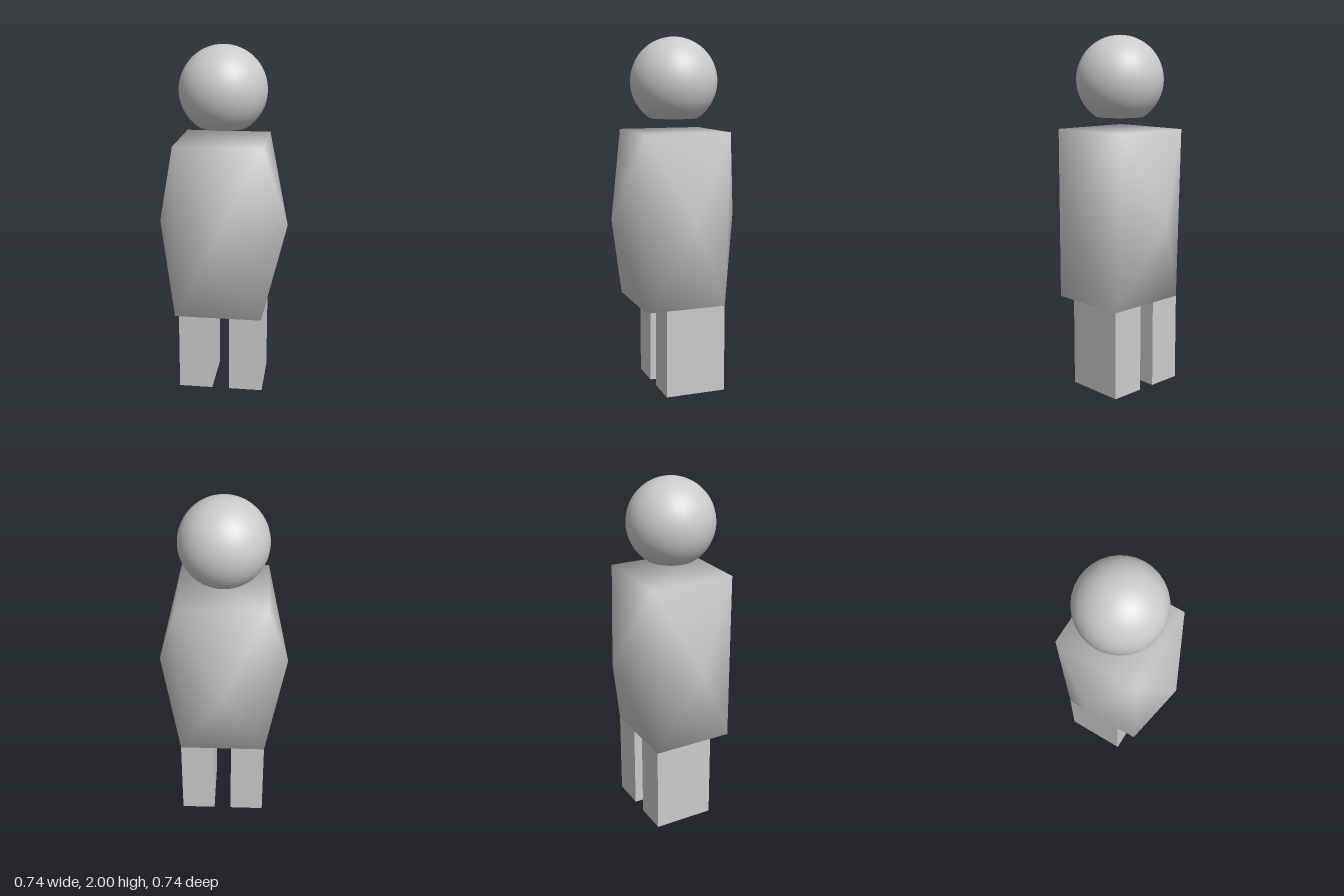
import * as THREE from 'three';

const grey = new THREE.MeshStandardMaterial({ color: 0xcccccc });

function addPart(group, name, geometry, x = 0, y = 0, z = 0) {
  const mesh = new THREE.Mesh(geometry, grey);
  mesh.name = name;
  mesh.position.set(x, y, z);
  group.add(mesh);
}

// Box whose four sides each rise to a central point, with normals shared across all edges
function torsoGeometry() {
  const w = 0.245, bulge = 0.37, low = 0.5, high = 1.48, lowBack = -0.22;
  const mid = (low + high) / 2;
  const positions = [
    // bottom ring, counter-clockwise seen from above
    w, low, w, w, low, lowBack, -w, low, lowBack, -w, low, w,
    // top ring
    w, high, w, w, high, -w, -w, high, -w, -w, high, w,
    // side points: left, back, right, front
    bulge, mid, 0, 0, mid, -bulge, -bulge, mid, 0, 0, mid, bulge,
  ];
  const index = [4, 5, 6, 4, 6, 7, 0, 2, 1, 0, 3, 2];
  for (let i = 0; i < 4; i++) {
    const j = (i + 1) % 4;
    const ring = [i, j, j + 4, i + 4];
    ring.forEach((corner, k) => index.push(8 + i, corner, ring[(k + 1) % 4]));
  }
  const geometry = new THREE.BufferGeometry();
  geometry.setAttribute('position', new THREE.Float32BufferAttribute(positions, 3));
  geometry.setIndex(index);
  geometry.computeVertexNormals();
  return geometry;
}

export function createModel() {
  const model = new THREE.Group();
  model.name = 'figure';

  // Head: a ball cut flat underneath
  const radius = 0.245, headY = 1.755, cut = 1.55;
  const cutAngle = Math.acos((cut - headY) / radius);
  const head = new THREE.Group();
  head.name = 'head';
  addPart(head, 'headBall', new THREE.SphereGeometry(radius, 32, 24, 0, Math.PI * 2, 0, cutAngle), 0, headY, 0);
  const base = new THREE.CircleGeometry(radius * Math.sin(cutAngle), 32).rotateX(Math.PI / 2);
  addPart(head, 'headBase', base, 0, cut, 0);
  model.add(head);

  addPart(model, 'torso', torsoGeometry());

  // Legs: square-edged blocks, flush with the back of the torso
  for (const side of [1, -1]) {
    addPart(model, side > 0 ? 'leftLeg' : 'rightLeg',
      new THREE.BoxGeometry(0.195, 0.5, 0.347), side * 0.1475, 0.25, -0.0465);
  }
  return model;
}
